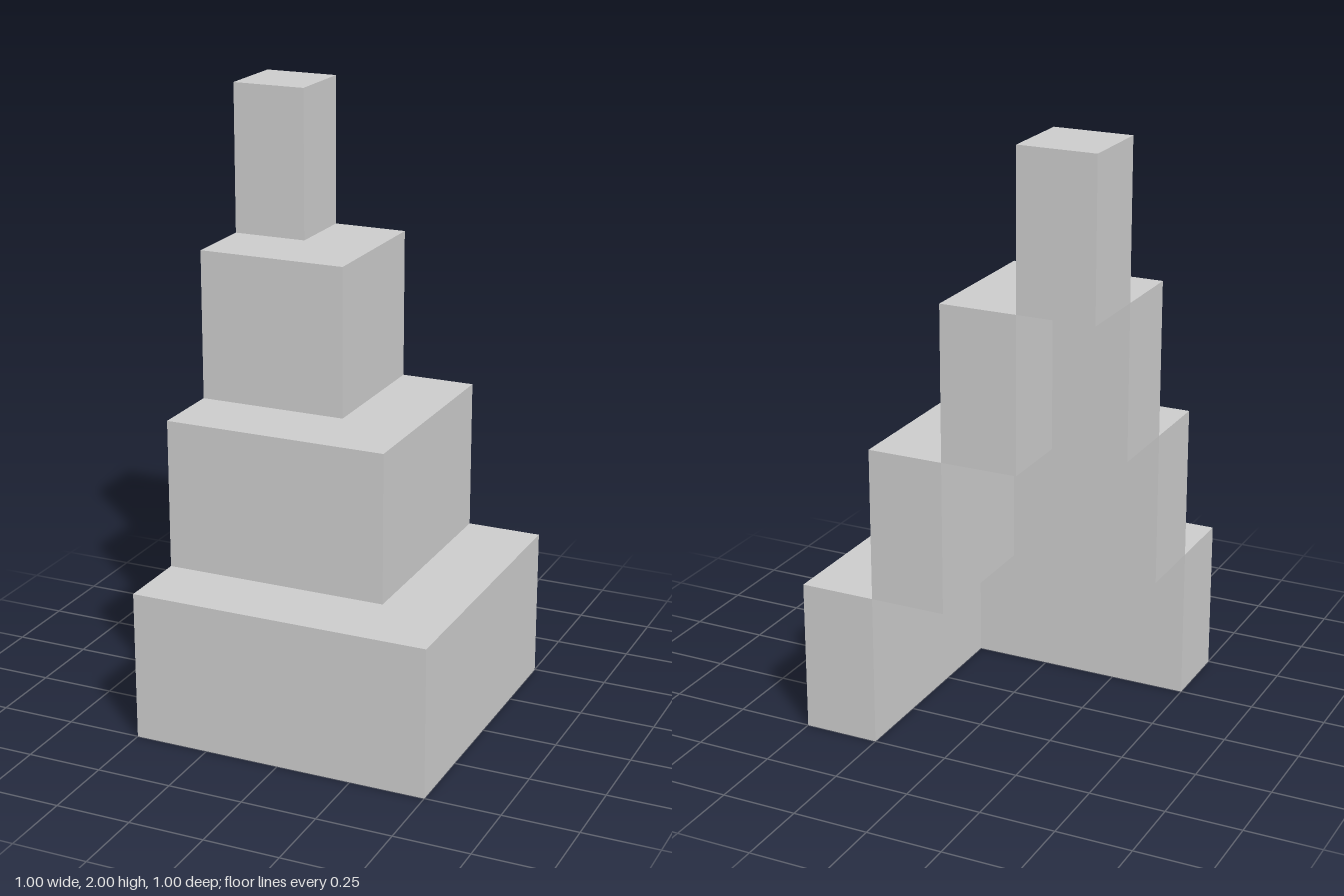
import * as THREE from 'three';

const STEP = 0.25, RISE = 0.5, BACK = -0.5;

// L-shaped plan: outer corner at (edge, edge), arms one step thick
function cornerPlan(edge) {
  const inner = edge - STEP;
  const points = inner > BACK
    ? [[BACK, inner], [inner, inner], [inner, BACK], [edge, BACK], [edge, edge], [BACK, edge]]
    : [[BACK, BACK], [edge, BACK], [edge, edge], [BACK, edge]];
  return new THREE.Shape(points.map(([x, z]) => new THREE.Vector2(x, z)));
}

export function createModel() {
  const model = new THREE.Group();
  model.name = 'steppedCornerTower';
  const material = new THREE.MeshStandardMaterial({ color: 0xcccccc, flatShading: true });
  const names = ['bottomTier', 'lowerTier', 'upperTier', 'topBlock'];

  // Each tier steps back by one arm thickness, leaving the inside corner open
  names.forEach((name, i) => {
    const geometry = new THREE.ExtrudeGeometry(cornerPlan(0.5 - i * STEP), { depth: RISE, bevelEnabled: false });
    geometry.rotateX(Math.PI / 2); // plan y becomes z, depth runs down
    const tier = new THREE.Mesh(geometry, material);
    tier.name = name;
    tier.position.y = (i + 1) * RISE;
    model.add(tier);
  });
  return model;
}
